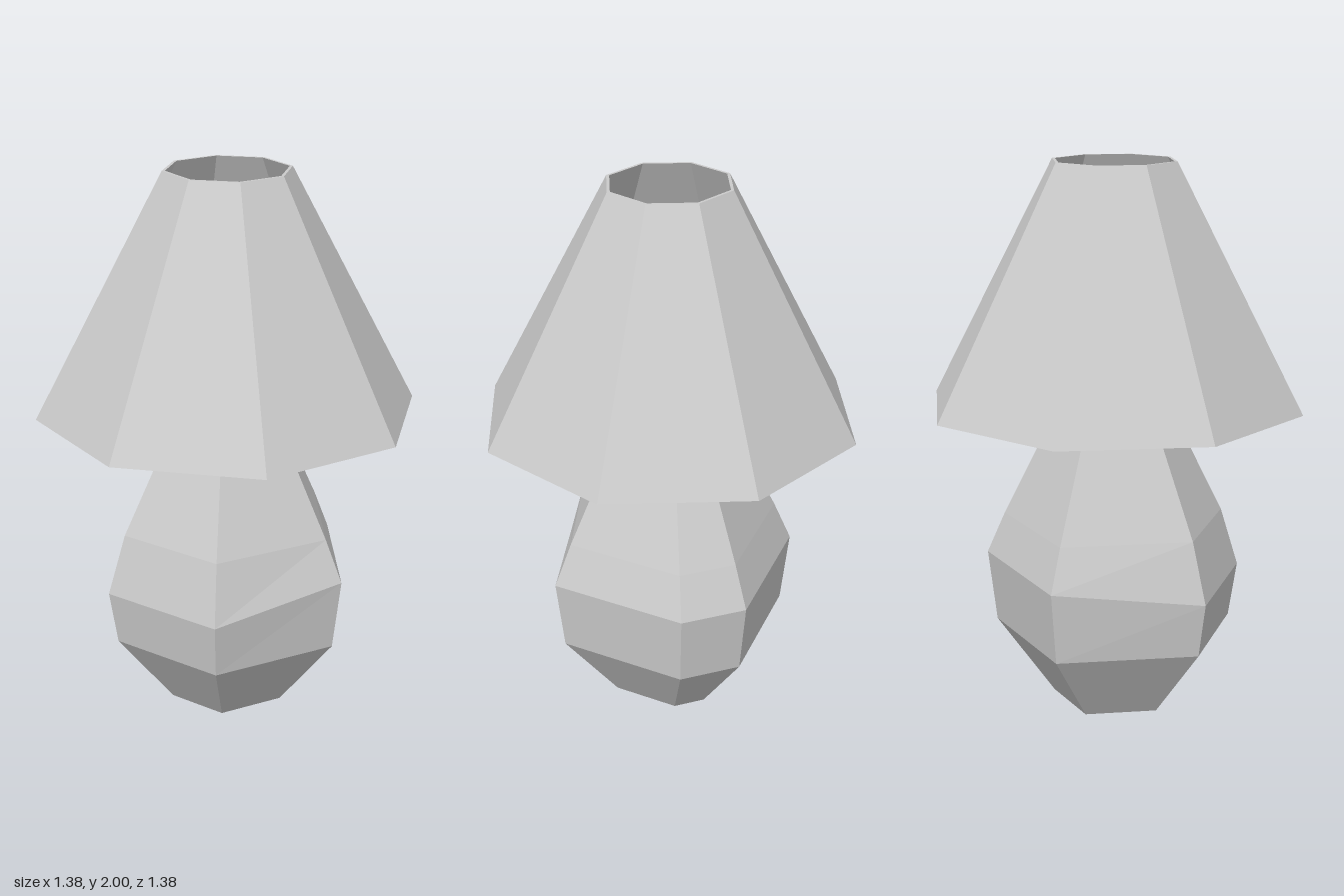
import * as THREE from 'three';

const material = new THREE.MeshStandardMaterial({ color: 0xcccccc, flatShading: true });

function part(name, geometry, y = 0) {
  const mesh = new THREE.Mesh(geometry, material);
  mesh.name = name;
  mesh.position.y = y;
  return mesh;
}

// Uneven six-sided body: each corner angle (from +z towards +x) is swept up the same profile
function bodyGeometry() {
  const angles = [-76, -16, 49, 115, 145, 214];
  const rings = [[0, 0.228], [0.28, 0.443], [0.545, 0.475], [0.7, 0.408], [1.02, 0.25], [1.11, 0.228]];
  const n = angles.length;
  const positions = [];
  const index = [];

  rings.forEach(([y, r], i) => {
    angles.forEach((degrees, j) => {
      const a = THREE.MathUtils.degToRad(degrees);
      // the belly sits a little lower on the first two corners
      const height = i === 2 && j < 2 ? 0.48 : y;
      positions.push(r * Math.sin(a), height, r * Math.cos(a));
    });
  });

  // sides
  for (let i = 0; i < rings.length - 1; i++) {
    for (let j = 0; j < n; j++) {
      const a = i * n + j;
      const b = i * n + (j + 1) % n;
      index.push(a, b, b + n, a, b + n, a + n);
    }
  }
  // bottom and top caps
  const top = (rings.length - 1) * n;
  for (let j = 1; j < n - 1; j++) {
    index.push(0, j + 1, j);
    index.push(top, top + j, top + j + 1);
  }

  const indexed = new THREE.BufferGeometry();
  indexed.setAttribute('position', new THREE.Float32BufferAttribute(positions, 3));
  indexed.setIndex(index);
  const geometry = indexed.toNonIndexed();
  geometry.computeVertexNormals();
  return geometry;
}

// Thin eight-sided shade with a closed wall section
function shadeGeometry() {
  const profile = [
    [0.217, 2], [0.676, 1.13], [0.69, 1.13], [0.228, 2], [0.217, 2],
  ].map(([r, y]) => new THREE.Vector2(r, y));
  return new THREE.LatheGeometry(profile, 8);
}

export function createModel() {
  const lamp = new THREE.Group();
  lamp.name = 'tableLamp';

  lamp.add(part('body', bodyGeometry()));
  lamp.add(part('shade', shadeGeometry()));

  // Pole from the body up to the shade holder
  const poleBottom = 1.1;
  const holderY = 1.8;
  const poleHeight = holderY - poleBottom;
  lamp.add(part('pole', new THREE.CylinderGeometry(0.055, 0.055, poleHeight, 8), poleBottom + poleHeight / 2));

  // Two crossed rods that carry the shade
  const holder = new THREE.Group();
  holder.name = 'shadeHolder';
  for (let i = 0; i < 2; i++) {
    const rod = part('holderRod', new THREE.CylinderGeometry(0.011, 0.011, 0.65, 8), holderY);
    rod.rotation.set(i * Math.PI / 2, 0, (1 - i) * Math.PI / 2);
    holder.add(rod);
  }
  lamp.add(holder);

  // Faceted knob on top
  lamp.add(part('finial', new THREE.IcosahedronGeometry(0.065, 1), 1.845));

  return lamp;
}
